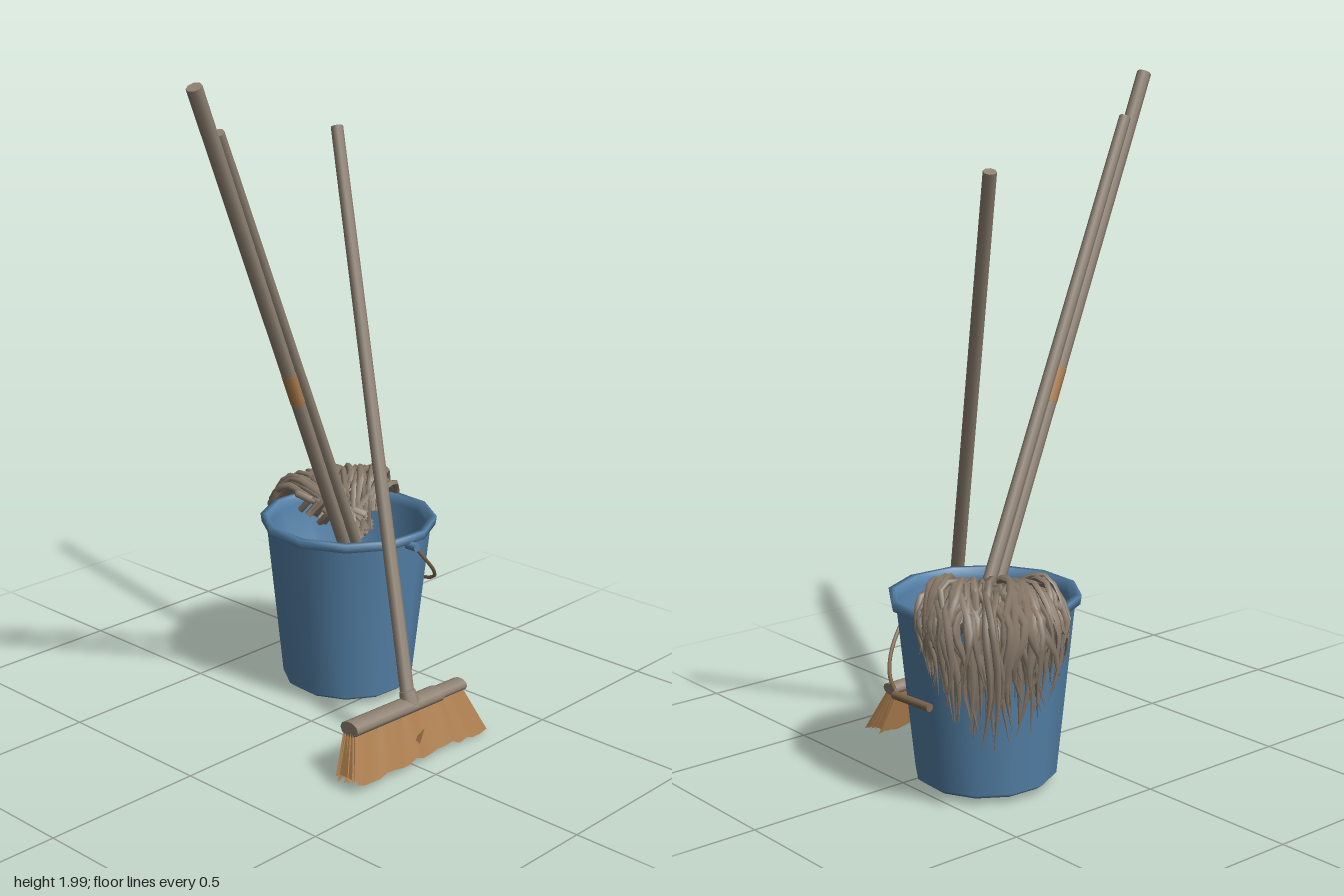
import * as THREE from 'three';
import { mergeGeometries } from 'three/addons/utils/BufferGeometryUtils.js';

const V = (x, y, z) => new THREE.Vector3(x, y, z);

function mat(name, color, side = THREE.FrontSide) {
  const m = new THREE.MeshStandardMaterial({ color, side });
  m.name = name;
  return m;
}

// Small seeded random generator
function seeded(seed) {
  return () => (seed = (seed * 16807) % 2147483647) / 2147483647;
}

// Round pole between two points
function pole(a, b, rA, rB, sides = 8) {
  const g = new THREE.CylinderGeometry(rB, rA, a.distanceTo(b), sides);
  g.applyQuaternion(new THREE.Quaternion().setFromUnitVectors(V(0, 1, 0), b.clone().sub(a).normalize()));
  const c = a.clone().lerp(b, 0.5);
  return g.translate(c.x, c.y, c.z);
}

// Tube whose radius follows a rule along its length
function taperedTube(points, segs, sides, radiusAt) {
  const curve = new THREE.CatmullRomCurve3(points);
  const g = new THREE.TubeGeometry(curve, segs, 1, sides);
  const pos = g.attributes.position, v = V(0, 0, 0);
  for (let i = 0; i < pos.count; i++) {
    const t = Math.floor(i / (sides + 1)) / segs;
    const c = curve.getPointAt(t);
    v.fromBufferAttribute(pos, i).sub(c).multiplyScalar(radiusAt(t)).add(c);
    pos.setXYZ(i, v.x, v.y, v.z);
  }
  g.computeVertexNormals();
  return g;
}

export function createModel() {
  const group = new THREE.Group();
  const blue = mat('bucket blue', 0x5684ab);
  const wood = mat('weathered wood', 0x8f8273);
  const yarn = mat('mop yarn', 0x877969);
  const straw = mat('bristle tan', 0xa97c4c, THREE.DoubleSide);
  const wire = mat('handle brown', 0x80694f);
  const add = (name, geo, material, parent = group) => {
    const m = new THREE.Mesh(geo, material);
    m.name = name;
    parent.add(m);
    return m;
  };
  const rand = seeded(4711);
  const cx = 0.3, cz = -0.13;

  // Bucket: outer wall, rolled lip, then inner wall back to the floor
  const profile = [[0, 0.02], [0.185, 0.02], [0.205, 0.035], [0.257, 0.535], [0.272, 0.538],
    [0.276, 0.565], [0.256, 0.565], [0.25, 0.535], [0.195, 0.045], [0, 0.04]];
  const bucket = new THREE.LatheGeometry(profile.map(([r, y]) => new THREE.Vector2(r, y)), 12);
  bucket.rotateY(0.2).translate(cx, 0, cz);
  add('bucket', bucket, blue);

  // Wire bail lying against the side, with its grip
  const bail = [];
  for (let i = 0; i <= 6; i++) {
    const t = (i / 6) * 1.27, s = Math.sin(t);
    bail.push(V(cx + 0.27 * s, 0.53 - 0.23 * Math.pow(s, 0.9), cz + 0.275 * Math.cos(t)));
  }
  add('bucketBail', new THREE.TubeGeometry(new THREE.CatmullRomCurve3(bail), 20, 0.006, 5), wire);
  add('bailGrip', pole(V(0.562, 0.298, -0.05), V(0.562, 0.304, -0.21), 0.012, 0.012), wire);
  add('bailPivot', pole(V(cx, 0.53, 0.115), V(cx, 0.53, 0.155), 0.014, 0.014), blue);

  // Loose stick standing in the bucket, with a worn patch
  const topA = V(-0.565, 1.99, 0.135), footA = V(0.425, 0.05, -0.095);
  add('looseStick', pole(footA, topA, 0.019, 0.022), wood);
  add('stickPatch', pole(topA.clone().lerp(footA, 0.49), topA.clone().lerp(footA, 0.44), 0.0215, 0.0215), straw);

  // Mop stick
  add('mopStick', pole(V(0.34, 0.43, -0.122), V(-0.455, 1.86, 0.103), 0.02, 0.018), wood);

  // Mop strands draped over the rim
  const strands = [];
  for (let i = 0; i < 105; i++) {
    const u = (i + rand()) / 105 * 2 - 1;
    const mid = 1 - u * u;
    const a = -0.98 + u * 0.76;
    const reach = 0.275 + mid * 0.05 * rand() + 0.025 * rand();
    const end = 0.46 - mid * (0.05 + 0.2 * rand()) - 0.03 * rand();
    const hump = 0.585 + 0.055 * rand();
    const at = (r, y, w) => V(
      Math.min(0.572, cx + Math.cos(a + w) * r), y, cz + Math.sin(a + w) * r);
    const w = () => (rand() - 0.5) * 0.28;
    const pts = [
      V(0.33 + 0.1 * rand(), 0.46 + 0.08 * rand(), -0.14 - 0.06 * rand()),
      at(0.13 + 0.06 * rand(), hump, w()),
      at(0.22 + 0.03 * rand(), hump + 0.012, w()),
      at(Math.max(reach, 0.285), 0.565 - 0.03 * rand(), w()),
      at(reach + 0.01, (0.54 + end) / 2, w() * 0.5),
      at(reach, end, w() * 0.5),
    ];
    const r0 = 0.009 + 0.004 * rand();
    strands.push(taperedTube(pts, 14, 5, t => r0 * (t < 0.7 ? 1 : Math.max(0.04, (1 - t) / 0.3))));
  }
  // Short curled strands over the mop's middle
  for (let i = 0; i < 28; i++) {
    const x = 0.3 + 0.2 * rand(), z = -0.16 - 0.17 * rand(), y = 0.57 + 0.05 * rand();
    const d = rand() * 6.28, c = Math.cos(d) * 0.045, s = Math.sin(d) * 0.045;
    strands.push(taperedTube([V(x - c, y - 0.06, z - s), V(x - s * 0.4, y, z + c * 0.4),
      V(x + s * 0.4, y + 0.01, z - c * 0.4), V(x + c, y - 0.05, z + s)], 8, 5, () => 0.011));
  }
  add('mopStrands', mergeGeometries(strands), yarn);

  // Broom: stick, head and bristles, the head tilted a little
  add('broomStick', pole(V(0.055, 0.15, 0.345), V(0.393, 1.755, -0.275), 0.021, 0.019), wood);
  const broom = new THREE.Group();
  broom.name = 'broomHead';
  broom.position.set(0.04, 0.155, 0.343);
  broom.rotation.z = -0.035;
  group.add(broom);
  const bar = (x0, x1, ry, rz) => new THREE.CylinderGeometry(1, 1, x1 - x0, 10)
    .rotateZ(Math.PI / 2).scale(1, ry, rz).translate((x0 + x1) / 2, 0, 0);
  add('headBar', bar(-0.24, 0.14, 0.023, 0.034), wood, broom);
  add('headBarEnd', bar(0.135, 0.25, 0.018, 0.029), wood, broom);
  add('stickSocket', new THREE.CylinderGeometry(0.024, 0.03, 0.05, 8)
    .rotateX(-0.36).translate(0.017, 0.018, 0), wood, broom);

  // Solid bristle core flaring downward and forward
  const core = new THREE.BoxGeometry(1, 1, 1).toNonIndexed();
  const p = core.attributes.position;
  for (let i = 0; i < p.count; i++) {
    const top = p.getY(i) > 0;
    p.setXYZ(i, p.getX(i) * (top ? 0.47 : 0.565), top ? -0.012 : -0.122,
      (top ? 0 : 0.035) + p.getZ(i) * (top ? 0.04 : 0.06));
  }
  core.computeVertexNormals();
  add('bristleCore', core, straw, broom);

  // Thin ragged bristle sheets fanned around the core
  const sheets = [];
  for (let k = 0; k < 6; k++) {
    const f = k / 5;
    const g = new THREE.PlaneGeometry(1, 1, 18, 1);
    const q = g.attributes.position;
    for (let i = 0; i < q.count; i++) {
      const x = q.getX(i);
      if (q.getY(i) > 0) q.setXYZ(i, x * 0.48, -0.01, -0.022 + 0.044 * f);
      else q.setXYZ(i, x * (0.57 + 0.02 * rand()), -0.124 - 0.018 * rand(),
        -0.005 + 0.085 * f + 0.006 * (rand() - 0.5));
    }
    g.computeVertexNormals();
    sheets.push(g);
  }
  add('bristleSheets', mergeGeometries(sheets), straw, broom);

  // Stray tuft at the front of the bristles
  add('bristleTuft', new THREE.ConeGeometry(0.022, 0.07, 4)
    .scale(1, 1, 0.6).rotateX(0.45).translate(0, -0.075, 0.062), straw, broom);

  return group;
}
